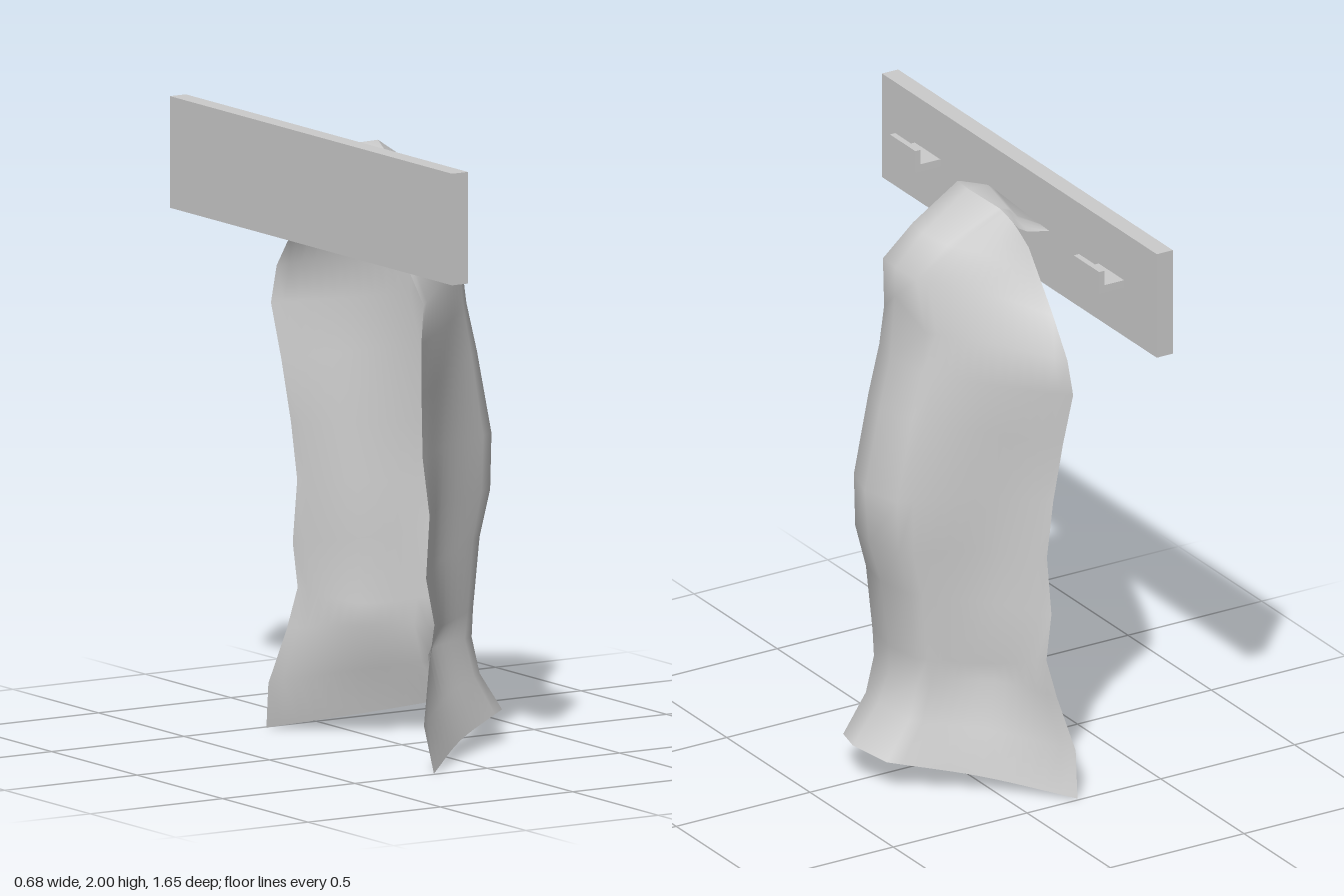
import * as THREE from 'three';

const grey = new THREE.MeshStandardMaterial({ color: 0xcccccc });
const cloth = new THREE.MeshStandardMaterial({ color: 0xcccccc, side: THREE.DoubleSide });

// Seams of one half of the coat, from hem to shoulder: [x, y, z]
const ridge = [[0.34, 0.125, 0], [0.245, 0.25, 0], [0.205, 0.35, 0], [0.205, 0.44, 0], [0.235, 0.67, 0], [0.28, 0.82, 0],
  [0.295, 1.0, 0], [0.24, 1.27, 0], [0.2, 1.44, 0], [0.183, 1.65, 0], [0.18, 1.75, 0], [0.08, 1.845, 0], [-0.09, 1.96, 0]];
const crease = [[0.295, 0.105, 0.13], [0.21, 0.23, 0.13], [0.18, 0.35, 0.13], [0.185, 0.44, 0.13], [0.21, 0.67, 0.13], [0.25, 0.82, 0.13],
  [0.255, 1.0, 0.13], [0.2, 1.27, 0.13], [0.16, 1.43, 0.13], [0.145, 1.56, 0.125], [0.165, 1.74, 0.1], [0.05, 1.835, 0.105], [-0.13, 1.93, 0.125]];
const side = [[0.04, 0.055, 0.285], [0.0, 0.2, 0.27], [-0.04, 0.35, 0.24], [0.0, 0.42, 0.24], [-0.01, 0.63, 0.24], [-0.01, 0.81, 0.25],
  [-0.01, 1.0, 0.26], [-0.01, 1.23, 0.27], [-0.01, 1.4, 0.285], [-0.01, 1.54, 0.265], [-0.03, 1.69, 0.22], [-0.08, 1.79, 0.19], [-0.16, 1.885, 0.16]];
const edge = [[-0.195, 0, 0.49], [-0.21, 0.15, 0.455], [-0.165, 0.33, 0.415], [-0.135, 0.46, 0.4], [-0.16, 0.61, 0.39], [-0.145, 0.81, 0.387],
  [-0.17, 1.0, 0.385], [-0.19, 1.2, 0.41], [-0.21, 1.38, 0.44], [-0.195, 1.5, 0.43], [-0.2, 1.62, 0.335], [-0.195, 1.71, 0.275], [-0.19, 1.81, 0.205]];

// Sheet with one straight-sided row per seam point, mirrored about z = 0:
// flat from the middle seam to the next one, then curving to the edge
function mirroredSheet(name, seams, steps) {
  const rows = seams[0].length, across = 2 * (steps + 1) + 1;
  const pos = [], index = [];
  for (let j = 0; j < rows; j++) {
    const [mid, ...outer] = seams.map(s => new THREE.Vector3(...s[j]));
    const half = new THREE.CatmullRomCurve3(outer).getPoints(steps);
    const mirror = half.map(p => new THREE.Vector3(p.x, p.y, -p.z)).reverse();
    for (const p of [...mirror, mid, ...half]) pos.push(p.x, p.y, p.z);
  }
  for (let j = 0; j < rows - 1; j++) {
    for (let i = 0; i < across - 1; i++) {
      const a = j * across + i, b = a + across;
      index.push(a, b, a + 1, a + 1, b, b + 1);
    }
  }
  const g = new THREE.BufferGeometry();
  g.setAttribute('position', new THREE.Float32BufferAttribute(pos, 3));
  g.setIndex(index);
  g.computeVertexNormals();
  const m = new THREE.Mesh(g, cloth);
  m.name = name;
  return m;
}

// Box given by its minimum and maximum corners
function block(name, min, max) {
  const size = max.map((v, i) => v - min[i]);
  const m = new THREE.Mesh(new THREE.BoxGeometry(...size), grey);
  m.position.set(...max.map((v, i) => (v + min[i]) / 2));
  m.name = name;
  return m;
}

export function createModel() {
  const model = new THREE.Group();
  model.name = 'coatOnRack';

  // Wall board
  model.add(block('wallBoard', [-0.343, 1.64, -0.825], [-0.283, 2, 0.825]));

  // Upturned hooks on each side
  for (const s of [-1, 1]) {
    const hook = new THREE.Group();
    hook.name = s > 0 ? 'leftHook' : 'rightHook';
    hook.add(block('hookArm', [-0.285, 1.81, -0.0765], [-0.19, 1.835, 0.0765]));
    hook.add(block('hookLip', [-0.21, 1.835, -0.0765], [-0.19, 1.885, 0.0765]));
    hook.position.z = s * 0.552;
    model.add(hook);
  }

  // Hanging coat, open at the back
  model.add(mirroredSheet('coat', [ridge, crease, side, edge], 12));

  // Collar folded back over the rack
  model.add(mirroredSheet('collar', [
    [[-0.09, 1.96, 0], [-0.165, 1.955, 0], [-0.195, 1.93, 0], [-0.283, 1.84, 0]],
    [[-0.13, 1.93, 0.125], [-0.165, 1.92, 0.125], [-0.2, 1.885, 0.12], [-0.283, 1.838, 0.12]],
    [[-0.16, 1.885, 0.16], [-0.175, 1.865, 0.168], [-0.21, 1.845, 0.165], [-0.283, 1.835, 0.18]],
  ], 4));

  return model;
}
